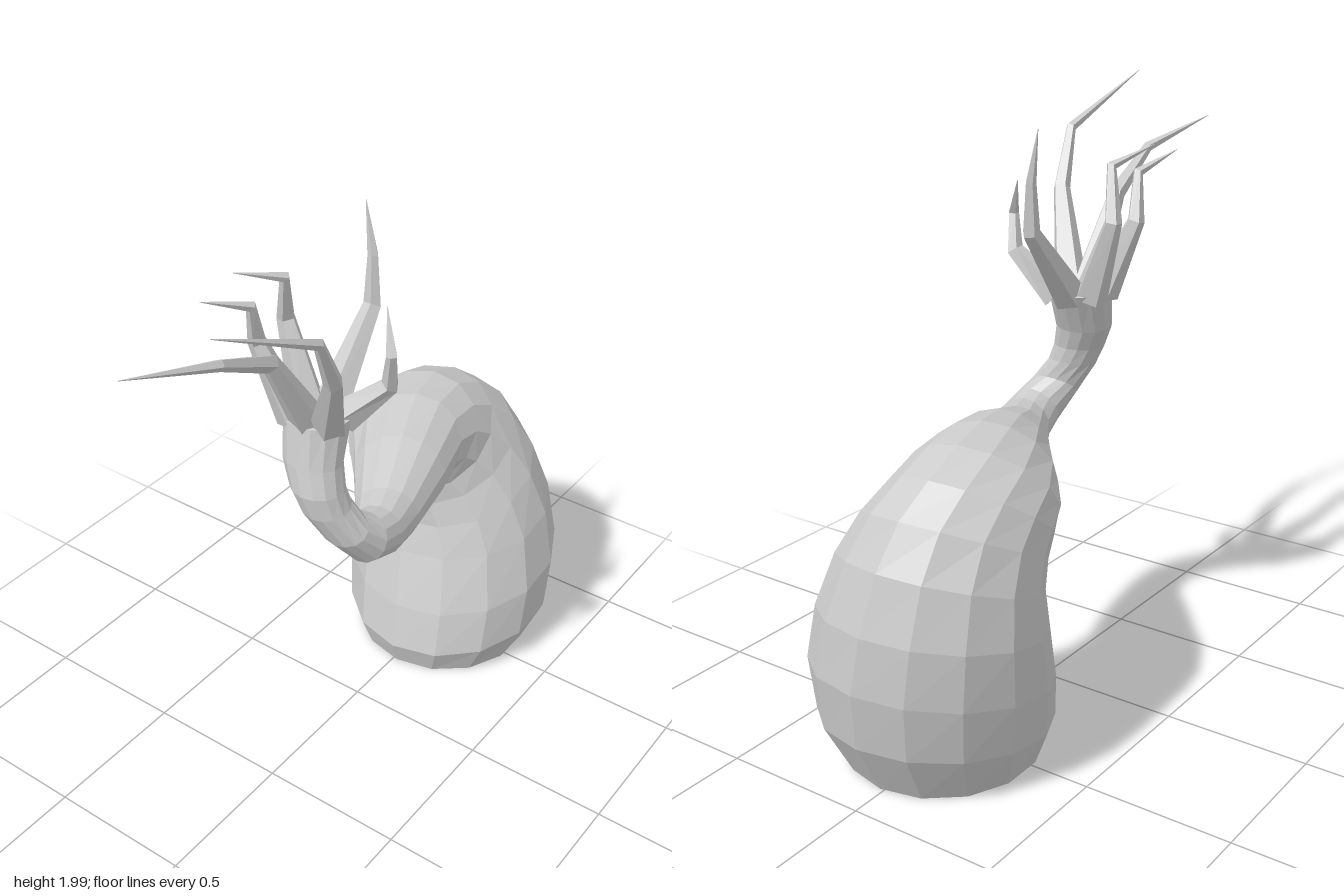
import * as THREE from 'three';

const material = new THREE.MeshStandardMaterial({
  color: 0xcccccc, flatShading: true, side: THREE.DoubleSide,
});

// Skin a list of equal-length rings (counter-clockwise about the growth direction).
function loft(name, rings) {
  const n = rings[0].length;
  const positions = rings.flat().flatMap((p) => [p.x, p.y, p.z]);
  const index = [];
  for (let i = 0; i < rings.length - 1; i++) {
    for (let j = 0; j < n; j++) {
      const k = (j + 1) % n;
      const a = i * n + j, b = i * n + k, c = b + n, d = a + n;
      index.push(a, b, c, a, c, d);
    }
  }
  const geometry = new THREE.BufferGeometry();
  geometry.setAttribute('position', new THREE.Float32BufferAttribute(positions, 3));
  geometry.setIndex(index);
  geometry.computeVertexNormals();
  const mesh = new THREE.Mesh(geometry, material);
  mesh.name = name;
  return mesh;
}

function ellipse(center, u, v, sides) {
  return Array.from({ length: sides }, (_, j) => {
    const t = (j / sides) * Math.PI * 2;
    return center.clone().addScaledVector(u, Math.cos(t)).addScaledVector(v, Math.sin(t));
  });
}

// Bulb and neck sections: inner z, y; outer z, y; centre x; half width; yaw
const bodySections = [
  [-0.23, 0, -0.87, 0, 0.015, 0.315, 0],
  [-0.2, 0.09, -0.97, 0.19, 0.015, 0.375, 0],
  [-0.24, 0.25, -1, 0.39, 0, 0.39, 0],
  [-0.31, 0.45, -0.985, 0.58, -0.03, 0.37, 0],
  [-0.34, 0.56, -0.93, 0.77, -0.055, 0.33, 0],
  [-0.335, 0.64, -0.85, 0.91, -0.08, 0.285, 0.05],
  [-0.32, 0.69, -0.73, 1.0, -0.095, 0.255, 0.1],
  [-0.3, 0.715, -0.58, 1.06, -0.085, 0.235, 0.2],
  [-0.27, 0.74, -0.4, 1.075, -0.04, 0.2, 0.35],
  [-0.17, 0.745, -0.2, 1.04, 0.04, 0.16, 0.4],
  [0, 0.765, 0, 0.975, 0.12, 0.11, 0.4],
  [0.12, 0.79, 0.09, 0.97, 0.155, 0.09, 0.2],
  [0.23, 0.84, 0.15, 0.985, 0.165, 0.085, 0],
  [0.31, 0.94, 0.2, 1.02, 0.135, 0.085, 0],
  [0.36, 1.05, 0.21, 1.08, 0.085, 0.085, 0],
  [0.375, 1.13, 0.21, 1.13, 0.06, 0.09, 0],
  [0.36, 1.22, 0.19, 1.2, 0.03, 0.1, 0],
  [0.335, 1.35, 0.12, 1.34, 0.015, 0.105, 0],
  [0.23, 1.37, 0.228, 1.37, 0.015, 0.001, 0], // closes the top of the neck
];

function bodyRing([iz, iy, oz, oy, cx, w, yaw]) {
  const center = new THREE.Vector3(cx, (iy + oy) / 2, (iz + oz) / 2);
  const across = new THREE.Vector3(0, (oy - iy) / 2, (oz - iz) / 2);
  const side = new THREE.Vector3(-w * Math.cos(yaw), 0, w * Math.sin(yaw));
  return ellipse(center, across, side, 14);
}

// Kinked, tapering tendrils: base, two bends, tip
const tendrils = [
  ['longLeftTendril', [0.07, 1.33, 0.25], [0.23, 1.63, 0.43], [0.265, 1.82, 0.54], [0.21, 1.985, 0.9]],
  ['longFrontTendril', [0.02, 1.33, 0.27], [0.02, 1.63, 0.45], [0.045, 1.75, 0.69], [-0.025, 1.83, 1]],
  ['backTendril', [0.02, 1.33, 0.17], [0.01, 1.59, -0.065], [0, 1.75, -0.08], [-0.035, 1.92, -0.09]],
  ['rightFrontTendril', [-0.04, 1.33, 0.27], [-0.145, 1.58, 0.31], [-0.12, 1.73, 0.36], [-0.18, 1.79, 0.51]],
  ['rightBackTendril', [-0.04, 1.33, 0.2], [-0.145, 1.6, 0.17], [-0.105, 1.77, 0.22], [-0.175, 1.825, 0.37]],
  ['shortLeftTendril', [0.07, 1.33, 0.17], [0.215, 1.47, 0.13], [0.24, 1.59, 0.16], [0.18, 1.71, 0.1]],
];
const tendrilRadii = [0.06, 0.03, 0.018, 0.001];

function tendril([name, ...coords]) {
  const path = coords.map((c) => new THREE.Vector3(...c));
  const rings = path.map((p, i) => {
    const before = path[Math.max(i - 1, 0)], after = path[Math.min(i + 1, path.length - 1)];
    const dir = after.clone().sub(before).normalize();
    const u = new THREE.Vector3(1, 0, 0).addScaledVector(dir, -dir.x).normalize();
    const v = dir.clone().cross(u);
    const r = tendrilRadii[i];
    return ellipse(p, u.multiplyScalar(r), v.multiplyScalar(r), 5);
  });
  return loft(name, rings);
}

export function createModel() {
  const model = new THREE.Group();
  model.name = 'tentacledBulb';
  model.add(loft('bulbAndNeck', bodySections.map(bodyRing)));
  const crown = new THREE.Group();
  crown.name = 'tendrilCrown';
  tendrils.forEach((t) => crown.add(tendril(t)));
  model.add(crown);
  return model;
}
